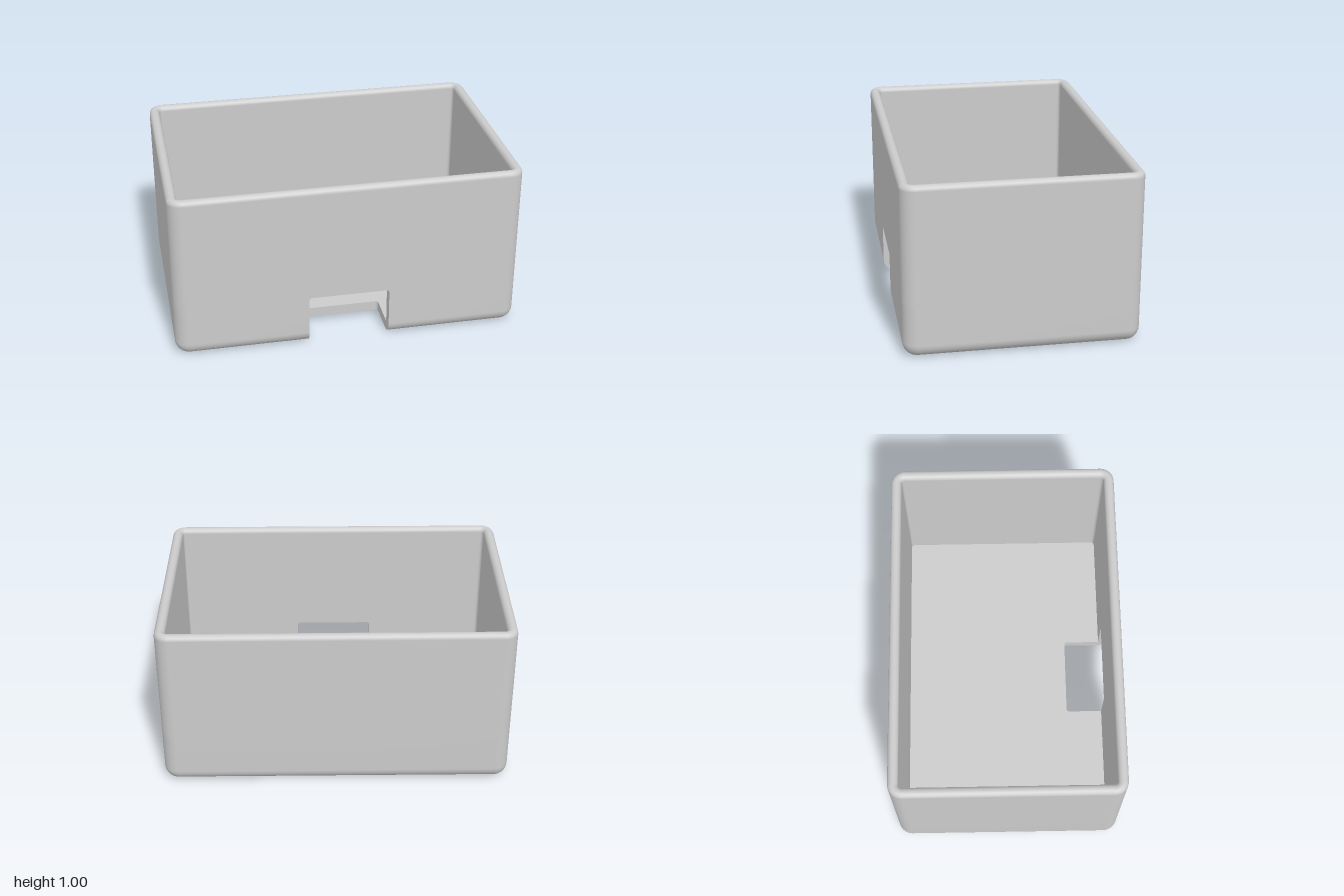
import * as THREE from 'three';

const W = 1, D = 0.663, H = 0.995;              // half width, half depth, height
const R = 0.08, T = 0.06;                       // outer rounding, wall thickness
const NX = 0.233, NY = 0.31, NZ = 0.385, F = 0.018; // notch half width, height, inner end, corner fillet

const grey = new THREE.MeshStandardMaterial({ color: 0xcccccc });
const greyBoth = new THREE.MeshStandardMaterial({ color: 0xcccccc, side: THREE.DoubleSide });

// Quarter or half arc as [u, v] pairs
function arc(cu, cv, r, from, to, n) {
  return Array.from({ length: n + 1 }, (_, i) => {
    const a = from + (to - from) * i / n;
    return [cu + r * Math.cos(a), cv + r * Math.sin(a)];
  });
}

// Wall path: arc centres with outward directions, from one side of the notch round to the other
function wallPath() {
  const path = [{ x: NX, z: D - R, nx: 0, nz: 1 }];
  [[1, 1], [1, -1], [-1, -1], [-1, 1]].forEach(([sx, sz], k) => {
    for (let i = 0; i <= 8; i++) {
      const a = Math.PI / 2 - (k + i / 8) * Math.PI / 2;
      path.push({ x: sx * (W - R), z: sz * (D - R), nx: Math.cos(a), nz: Math.sin(a) });
    }
  });
  path.push({ x: -NX, z: D - R, nx: 0, nz: 1 });
  return path;
}

// Sweep a profile of [inset, y] pairs along the wall path
function sweep(profile, closed) {
  const path = wallPath(), m = profile.length, pos = [], idx = [];
  for (const p of path)
    for (const [inset, y] of profile)
      pos.push(p.x + p.nx * (R - inset), y, p.z + p.nz * (R - inset));
  const runs = closed ? path.length : path.length - 1;
  for (let j = 0; j < runs; j++)
    for (let i = 0; i < m - 1; i++) {
      const a = j * m + i, b = ((j + 1) % path.length) * m + i;
      idx.push(a, b, b + 1, a, b + 1, a + 1);
    }
  const g = new THREE.BufferGeometry();
  g.setAttribute('position', new THREE.Float32BufferAttribute(pos, 3));
  g.setIndex(idx);
  g.computeVertexNormals();
  return g;
}

const shapeOf = pts => new THREE.Shape(pts.map(([u, v]) => new THREE.Vector2(u, v)));

// Floor outline with the notch cut from its front edge
function floorShape(inset, flip) {
  const w = W - inset, d = D - inset;
  return shapeOf([[NX, NZ], [NX, d], [w, d], [w, -d], [-w, -d], [-w, d], [-NX, d], [-NX, NZ]]
    .map(([x, z]) => [x, flip * z]));
}

// Prism filling a notch corner; dir is the way the corner opens
function cornerFillet(s, v, dir) {
  const pts = arc(0, 0, F, 0, Math.PI / 2, 6)
    .map(([a, b]) => [s * (NX - F + a), v + dir * (F - b)]);
  return new THREE.ExtrudeGeometry(shapeOf([[s * NX, v], ...pts]), { depth: T, bevelEnabled: false });
}

export function createModel() {
  const group = new THREE.Group();
  const add = (name, geometry, material = grey) => {
    const mesh = new THREE.Mesh(geometry, material);
    mesh.name = name;
    group.add(mesh);
    return mesh;
  };

  // Walls: closed ring with a rounded rim above the notch, open ring below it
  add('upperWall', sweep([[0, NY], ...arc(T / 2, H - T / 2, T / 2, Math.PI, 0, 10), [T, NY]], true));
  add('lowerWallOutside', sweep([...arc(R, R, R, Math.PI * 1.5, Math.PI, 8), [0, NY]], false));
  add('lowerWallInside', sweep([[T, NY], [T, T]], false));

  // Floor
  add('floorUnderside', new THREE.ShapeGeometry(floorShape(R, 1)).rotateX(Math.PI / 2));
  add('floorTop', new THREE.ShapeGeometry(floorShape(T, -1)).rotateX(-Math.PI / 2).translate(0, T, 0));

  // Notch: cut faces through wall and floor
  const section = shapeOf([[NZ, 0], ...arc(D - R, R, R, -Math.PI / 2, 0, 8),
    [D, NY], [D - T, NY], [D - T, T], [NZ, T]]);
  for (const s of [-1, 1]) {
    add('notchSide', new THREE.ShapeGeometry(section).rotateY(-Math.PI / 2).translate(s * NX, 0, 0), greyBoth);
    add('notchTopFillet', cornerFillet(s, NY, -1).translate(0, 0, D - T));
    add('notchFloorFillet', cornerFillet(s, NZ, 1).rotateX(Math.PI / 2).translate(0, T, 0));
  }
  add('notchCeiling', new THREE.PlaneGeometry(2 * NX, T).rotateX(Math.PI / 2).translate(0, NY, D - T / 2));
  add('notchFloorEdge', new THREE.PlaneGeometry(2 * NX, T).translate(0, T / 2, NZ));

  return group;
}
